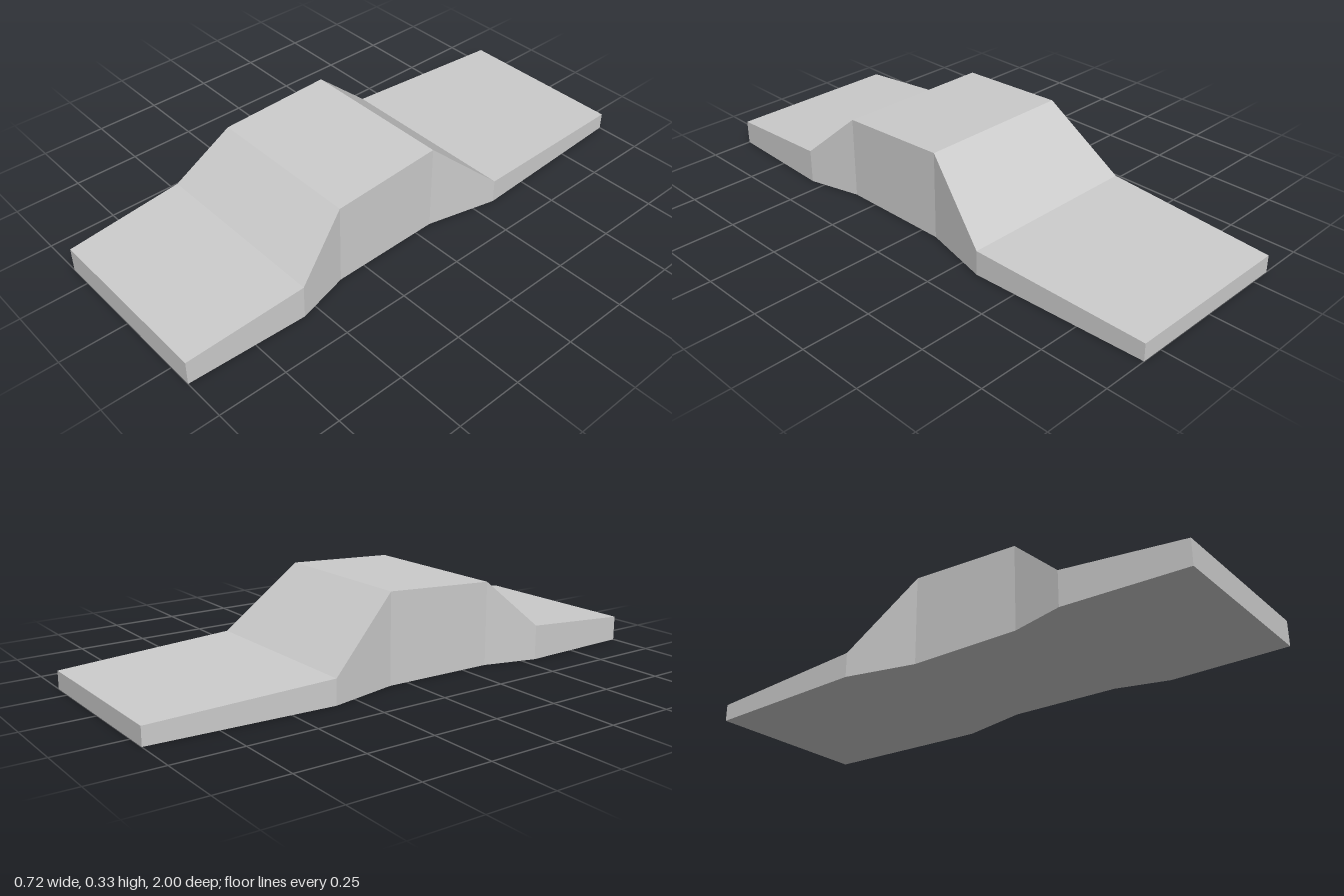
import * as THREE from 'three';

// Cross-sections from front to back: z, height, half width
const SECTIONS = [
  [1, 0.092, 0.339],
  [0.555, 0.128, 0.355],
  [0.355, 0.309, 0.302],
  [-0.07, 0.33, 0.296],
  [-0.335, 0.092, 0.359],
  [-1, 0.065, 0.329],
];

// Joins rectangular sections, with vertical walls and closed ends
function loft(sections) {
  const rings = sections.map(([z, h, w]) => [[-w, 0, z], [w, 0, z], [w, h, z], [-w, h, z]]);
  const positions = [];
  const quad = (a, b, c, d) => positions.push(...a, ...b, ...c, ...a, ...c, ...d);

  quad(...rings[0]);
  for (let i = 0; i < rings.length - 1; i++) {
    const front = rings[i], back = rings[i + 1];
    for (let k = 0; k < 4; k++) {
      const n = (k + 1) % 4;
      quad(front[k], back[k], back[n], front[n]);
    }
  }
  quad(...rings[rings.length - 1].slice().reverse());

  const geometry = new THREE.BufferGeometry();
  geometry.setAttribute('position', new THREE.Float32BufferAttribute(positions, 3));
  geometry.computeVertexNormals();
  return geometry;
}

export function createModel() {
  const grey = new THREE.MeshStandardMaterial({ color: 0xcccccc });
  grey.name = 'light grey';

  const group = new THREE.Group();
  group.name = 'bodyBlock';

  // Low front deck, raised cabin and low rear deck in one closed hull
  const hull = new THREE.Mesh(loft(SECTIONS), grey);
  hull.name = 'hull';
  group.add(hull);
  return group;
}
